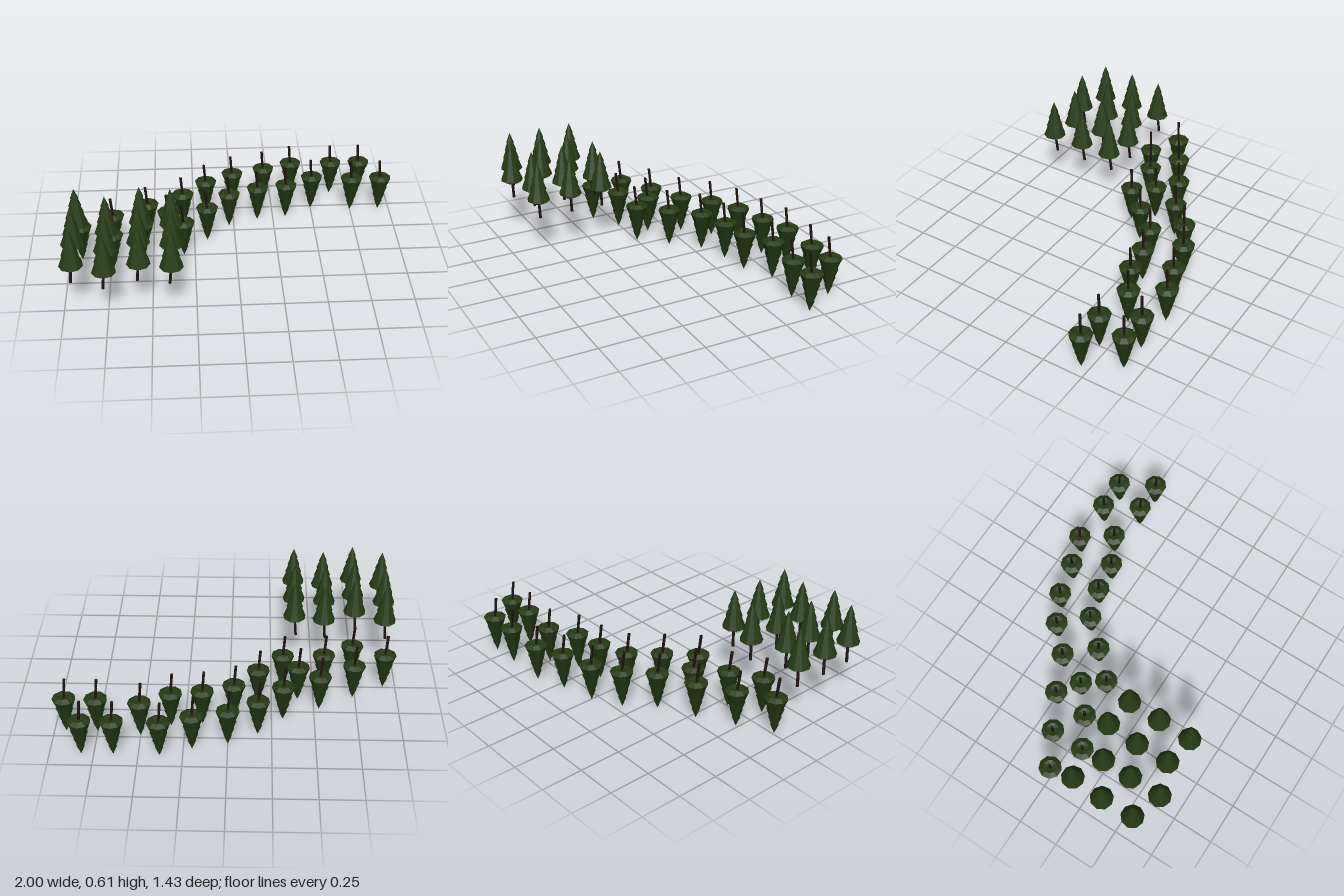
import * as THREE from 'three';

const HEIGHT = 0.36;

// [x, z] spots of the raised grove
const GROVE = [
  [-0.925, 0.175], [-0.75, 0.265], [-0.56, 0.175], [-0.385, 0.205],
  [-0.935, 0.375], [-0.75, 0.445], [-0.57, 0.375], [-0.385, 0.405],
  [-0.93, 0.575], [-0.75, 0.64], [-0.565, 0.575], [-0.385, 0.61],
];

// [x, z] spots of the two curving rows of upside-down trees
const OUTER_ROW = [
  [-0.925, 0.01], [-0.735, -0.10], [-0.53, -0.215], [-0.315, -0.315], [-0.17, -0.455],
  [0, -0.545], [0.20, -0.595], [0.38, -0.655], [0.64, -0.65], [0.82, -0.65],
];
const INNER_ROW = [
  [-0.735, 0.105], [-0.56, 0.005], [-0.405, -0.125], [-0.315, -0.005], [-0.17, -0.155],
  [-0.03, -0.305], [0.15, -0.365], [0.33, -0.39], [0.50, -0.48], [0.75, -0.45], [0.93, -0.45],
];

// Stacked skirts of needles, from the underside to the tip
function foliageGeometry() {
  const profile = [
    [0, 0.12], [0.04, 0.108], [0.068, 0.125], [0.041, 0.198],
    [0.05, 0.193], [0.029, 0.252],
    [0.037, 0.247], [0.017, 0.302],
    [0.024, 0.297], [0, HEIGHT],
  ].map(([r, y]) => new THREE.Vector2(r, y));
  return new THREE.LatheGeometry(profile, 9);
}

// Thin trunk whose foot leans slightly away from the axis
function trunkGeometry() {
  const top = 0.14;
  const geometry = new THREE.CylinderGeometry(0.008, 0.009, top, 6);
  geometry.translate(0, top / 2, 0);
  const p = geometry.attributes.position;
  for (let i = 0; i < p.count; i++) {
    const lean = -0.011 * (1 - p.getY(i) / top);
    p.setX(i, p.getX(i) + lean);
    p.setZ(i, p.getZ(i) + lean);
  }
  geometry.computeVertexNormals();
  return geometry;
}

export function createModel() {
  const model = new THREE.Group();
  model.name = 'pineTrees';

  const foliage = foliageGeometry();
  const trunk = trunkGeometry();
  const green = new THREE.MeshStandardMaterial({ color: 0x263a14, flatShading: true });
  const brown = new THREE.MeshStandardMaterial({ color: 0x1f1410, flatShading: true });

  function addTrees(name, spots, inverted) {
    const group = new THREE.Group();
    group.name = name;
    for (const [x, z] of spots) {
      const tree = new THREE.Group();
      tree.name = 'tree';
      const crown = new THREE.Mesh(foliage, green);
      crown.name = 'foliage';
      const stem = new THREE.Mesh(trunk, brown);
      stem.name = 'trunk';
      tree.add(crown, stem);
      tree.position.set(x, inverted ? HEIGHT : 0.248, z);
      if (inverted) tree.rotation.x = Math.PI;
      group.add(tree);
    }
    model.add(group);
  }

  addTrees('uprightGrove', GROVE, false);
  addTrees('invertedOuterRow', OUTER_ROW, true);
  addTrees('invertedInnerRow', INNER_ROW, true);
  return model;
}
